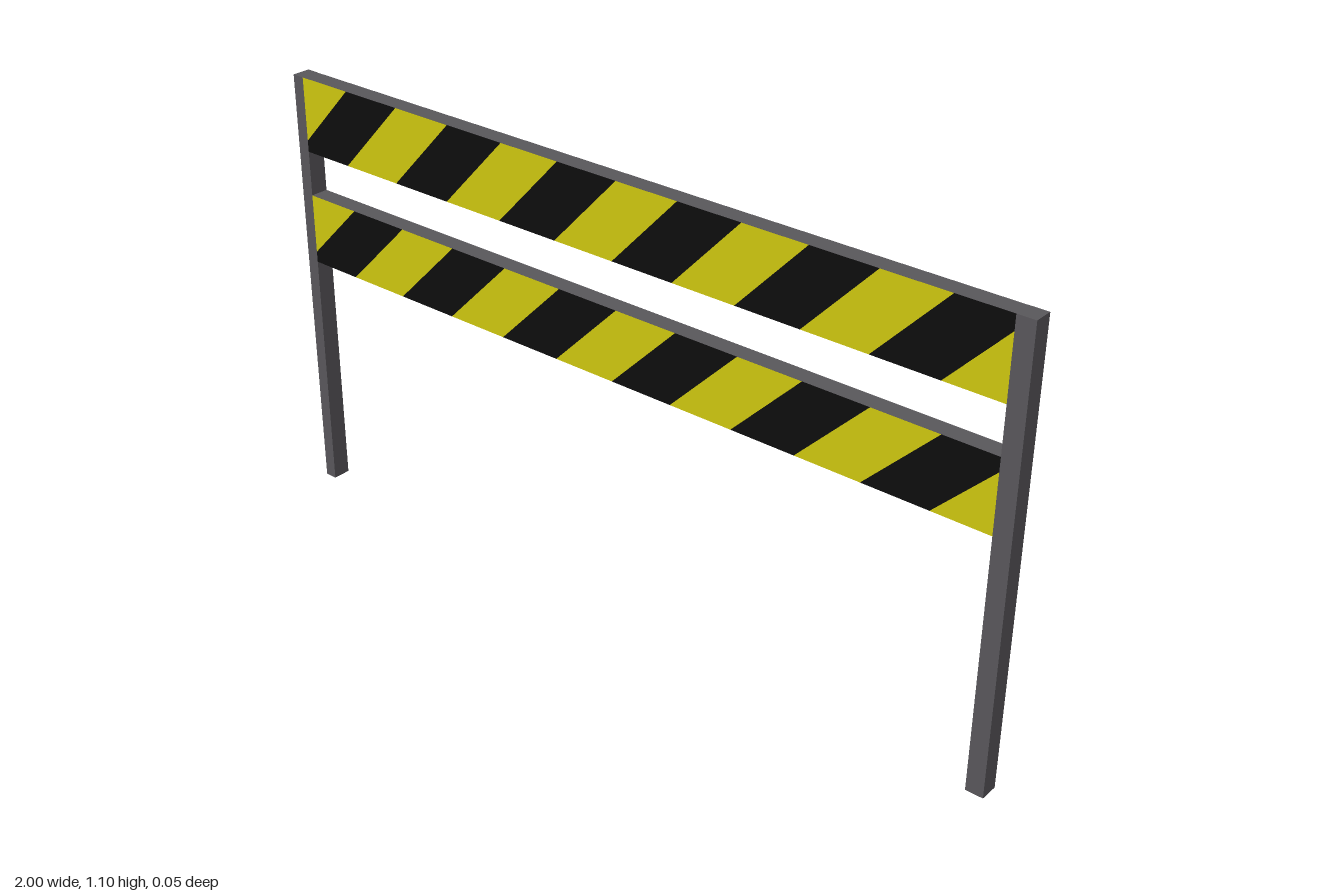
import * as THREE from 'three';

const DEPTH = 0.046, LEFT = -0.968, RIGHT = 0.957;
const WIDTH = RIGHT - LEFT, MID = (LEFT + RIGHT) / 2;
const BAND = 0.1645, LEAN = 0.176, START = -0.027;

const mat = (name, color) => Object.assign(new THREE.MeshStandardMaterial({ color }), { name });

// Keep the part of a polygon on one side of the vertical line x = limit
function clip(points, limit, sign) {
  const out = [];
  points.forEach((a, i) => {
    const b = points[(i + 1) % points.length];
    const da = (a.x - limit) * sign, db = (b.x - limit) * sign;
    if (da >= 0) out.push(a);
    if (da * db < 0) out.push(a.clone().lerp(b, da / (da - db)));
  });
  return out;
}

// Slanted bands covering one face of a board, alternating between two colours
function stripes(height, colours) {
  const group = new THREE.Group();
  for (let i = -2; START + i * BAND < WIDTH; i++) {
    const x = START + i * BAND;
    let pts = [[x, 0], [x + BAND, 0], [x + BAND + LEAN, height], [x + LEAN, height]]
      .map(p => new THREE.Vector2(...p));
    pts = clip(clip(pts, 0, 1), WIDTH, -1);
    if (pts.length < 3) continue;
    const band = new THREE.Mesh(new THREE.ShapeGeometry(new THREE.Shape(pts)), colours[Math.abs(i % 2)]);
    band.name = i % 2 ? 'yellowStripe' : 'blackStripe';
    band.position.set(-WIDTH / 2, -height / 2, DEPTH / 2);
    group.add(band);
  }
  return group;
}

export function createModel() {
  const model = new THREE.Group();
  model.name = 'barrier';
  const metal = mat('grey metal', 0x59575b);
  const black = mat('black paint', 0x0d0d0d);
  const yellow = mat('yellow paint', 0xcfc80f);

  // Upright posts
  for (const [name, x0, x1] of [['rightPost', -1, LEFT], ['leftPost', RIGHT, 1]]) {
    const post = new THREE.Mesh(new THREE.BoxGeometry(x1 - x0, 1.1, DEPTH), metal);
    post.name = name;
    post.position.set((x0 + x1) / 2, 0.55, 0);
    model.add(post);
  }

  // Striped boards, painted on both faces
  for (const [name, y0, y1] of [['upperBoard', 0.913, 1.1], ['lowerBoard', 0.623, 0.8]]) {
    const height = y1 - y0;
    const board = new THREE.Group();
    board.name = name;
    board.position.set(MID, (y0 + y1) / 2, 0);
    const core = new THREE.Mesh(new THREE.BoxGeometry(WIDTH, height, DEPTH - 0.001), metal);
    core.name = 'boardCore';
    const front = stripes(height, [black, yellow]);
    front.name = 'frontStripes';
    const back = stripes(height, [black, yellow]);
    back.name = 'backStripes';
    back.rotation.y = Math.PI;
    board.add(core, front, back);
    model.add(board);
  }
  return model;
}
